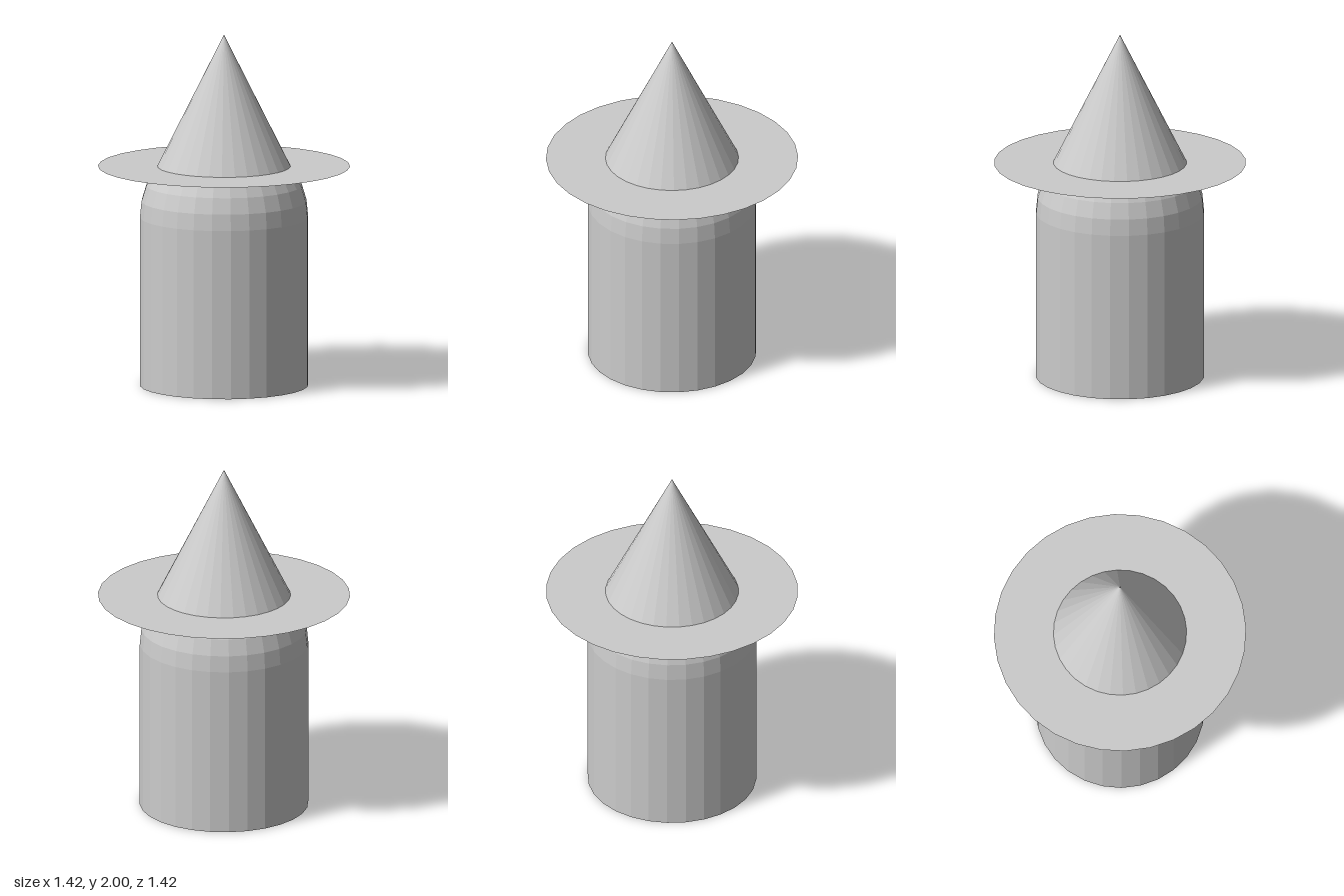
import * as THREE from 'three';

export function createModel() {
  const model = new THREE.Group();
  const grey = new THREE.MeshStandardMaterial({ color: 0xcccccc, flatShading: true });
  const greyThin = grey.clone();
  greyThin.side = THREE.DoubleSide;

  const bodyRadius = 0.475, bodyHeight = 0.96;
  const hatRadius = 0.375, hatBase = 1.25, hatHeight = 0.75, brimRadius = 0.71;

  function add(name, geometry, y, material = grey) {
    const mesh = new THREE.Mesh(geometry, material);
    mesh.name = name;
    mesh.position.y = y;
    model.add(mesh);
  }

  // Upright cylindrical body with a flat base
  add('body', new THREE.CylinderGeometry(bodyRadius, bodyRadius, bodyHeight, 28), bodyHeight / 2);

  // Rounded shoulders: a half sphere that disappears into the hat
  add('dome', new THREE.SphereGeometry(bodyRadius, 28, 8, 0, Math.PI * 2, 0, Math.PI / 2), bodyHeight);

  // Paper-thin flat brim
  add('hatBrim', new THREE.RingGeometry(hatRadius, brimRadius, 32).rotateX(-Math.PI / 2), hatBase, greyThin);

  // Pointed crown of the hat
  add('hatCone', new THREE.ConeGeometry(hatRadius, hatHeight, 32, 1, true), hatBase + hatHeight / 2, greyThin);

  return model;
}
